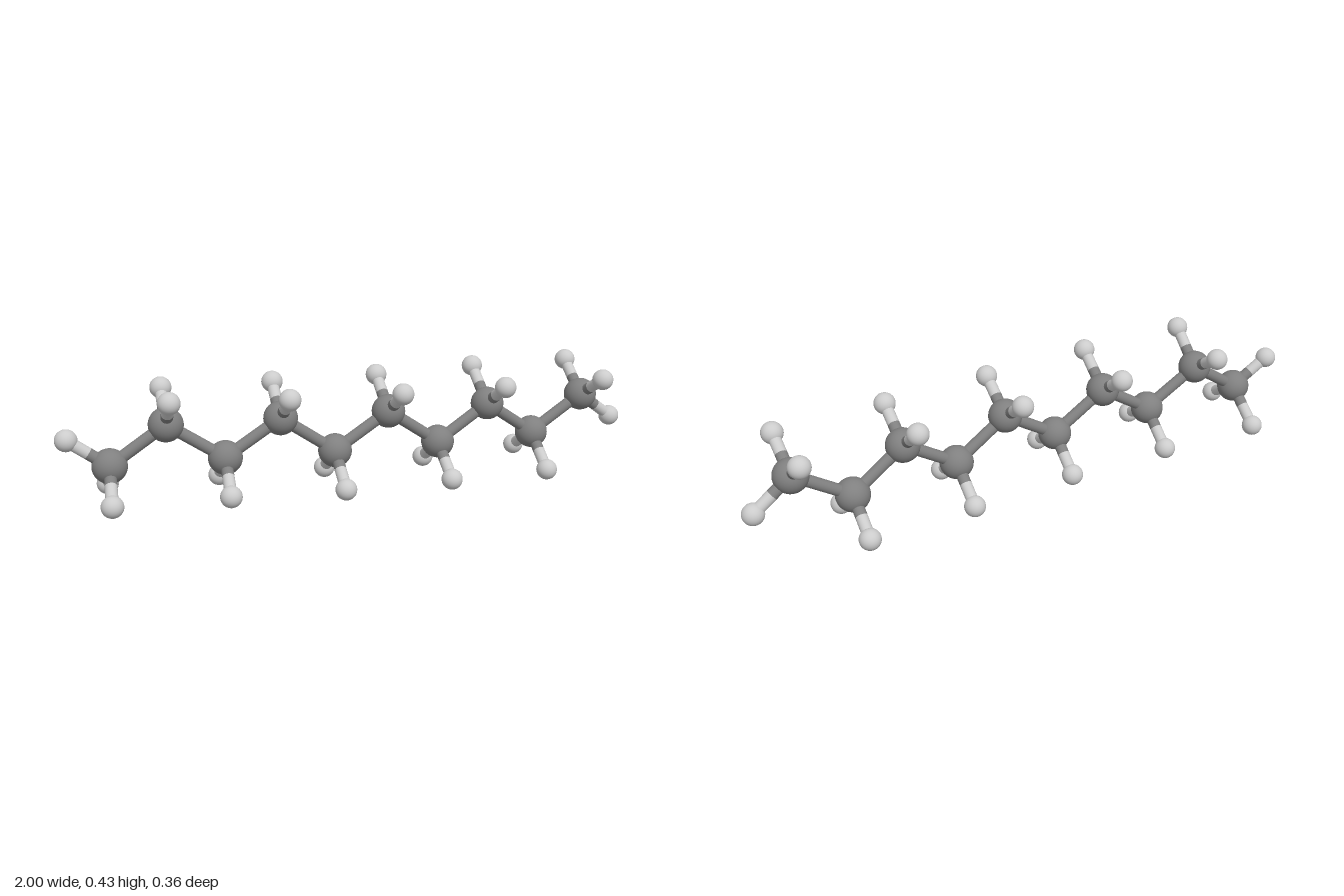
import * as THREE from 'three';

const ATOM_R = 0.057, TIP_R = 0.036, ROD_R = 0.02;

// Zigzag chain: each node has its centre, then the small end balls attached to it
const NODES = [
  { at: [-0.837, 0.174, -0.012], tips: [[-0.848, 0.085, 0.12], [-0.837, 0.07, -0.142], [-0.964, 0.267, -0.027]] },
  { at: [-0.653, 0.294, -0.012], tips: [[-0.657, 0.398, 0.113], [-0.646, 0.382, -0.145]] },
  { at: [-0.468, 0.168, 0.003], tips: [[-0.479, 0.08, 0.136], [-0.468, 0.065, -0.124]] },
  { at: [-0.28, 0.285, 0.004], tips: [[-0.281, 0.382, 0.137], [-0.276, 0.377, -0.122]] },
  { at: [-0.097, 0.157, 0.013], tips: [[-0.099, 0.063, 0.145], [-0.099, 0.056, -0.112]] },
  { at: [0.094, 0.276, 0.01], tips: [[0.099, 0.368, 0.138], [0.094, 0.372, -0.12]] },
  { at: [0.277, 0.149, 0.007], tips: [[0.281, 0.052, 0.134], [0.275, 0.051, -0.126]] },
  { at: [0.463, 0.268, 0.002], tips: [[0.468, 0.358, 0.133], [0.459, 0.373, -0.128]] },
  { at: [0.645, 0.143, -0.01], tips: [[0.65, 0.039, 0.113], [0.644, 0.054, -0.145]] },
  { at: [0.833, 0.267, -0.007], tips: [[0.842, 0.352, 0.127], [0.834, 0.366, -0.134], [0.963, 0.172, -0.017]] },
];

export function createModel() {
  const model = new THREE.Group();
  const dark = new THREE.MeshStandardMaterial({ color: 0x808080 });
  const light = new THREE.MeshStandardMaterial({ color: 0xcccccc });
  const atomGeo = new THREE.SphereGeometry(ATOM_R, 32, 20);
  const tipGeo = new THREE.SphereGeometry(TIP_R, 28, 18);
  const rodGeo = new THREE.CylinderGeometry(ROD_R, ROD_R, 1, 20, 1, true);
  const up = new THREE.Vector3(0, 1, 0);

  const add = (name, geometry, material, position) => {
    const mesh = new THREE.Mesh(geometry, material);
    mesh.name = name;
    mesh.position.copy(position);
    model.add(mesh);
    return mesh;
  };

  // Straight rod between two points
  const rod = (name, a, b, material) => {
    const dir = b.clone().sub(a);
    const mesh = add(name, rodGeo, material, a.clone().lerp(b, 0.5));
    mesh.scale.y = dir.length();
    mesh.quaternion.setFromUnitVectors(up, dir.normalize());
  };

  const centres = NODES.map((n) => new THREE.Vector3(...n.at));
  NODES.forEach((node, i) => {
    const c = centres[i];
    add('chainAtom' + (i + 1), atomGeo, dark, c);

    // Rod to the next atom of the chain
    if (i + 1 < centres.length) rod('chainBond' + (i + 1), c, centres[i + 1], dark);

    // Outer balls on two-tone rods: dark inner half, light outer half
    node.tips.forEach((t, j) => {
      const tip = new THREE.Vector3(...t);
      const mid = c.clone().lerp(tip, 0.5);
      const id = `${i + 1}_${j + 1}`;
      rod('innerBond' + id, c, mid, dark);
      rod('outerBond' + id, mid, tip, light);
      add('outerAtom' + id, tipGeo, light, tip);
    });
  });
  return model;
}
